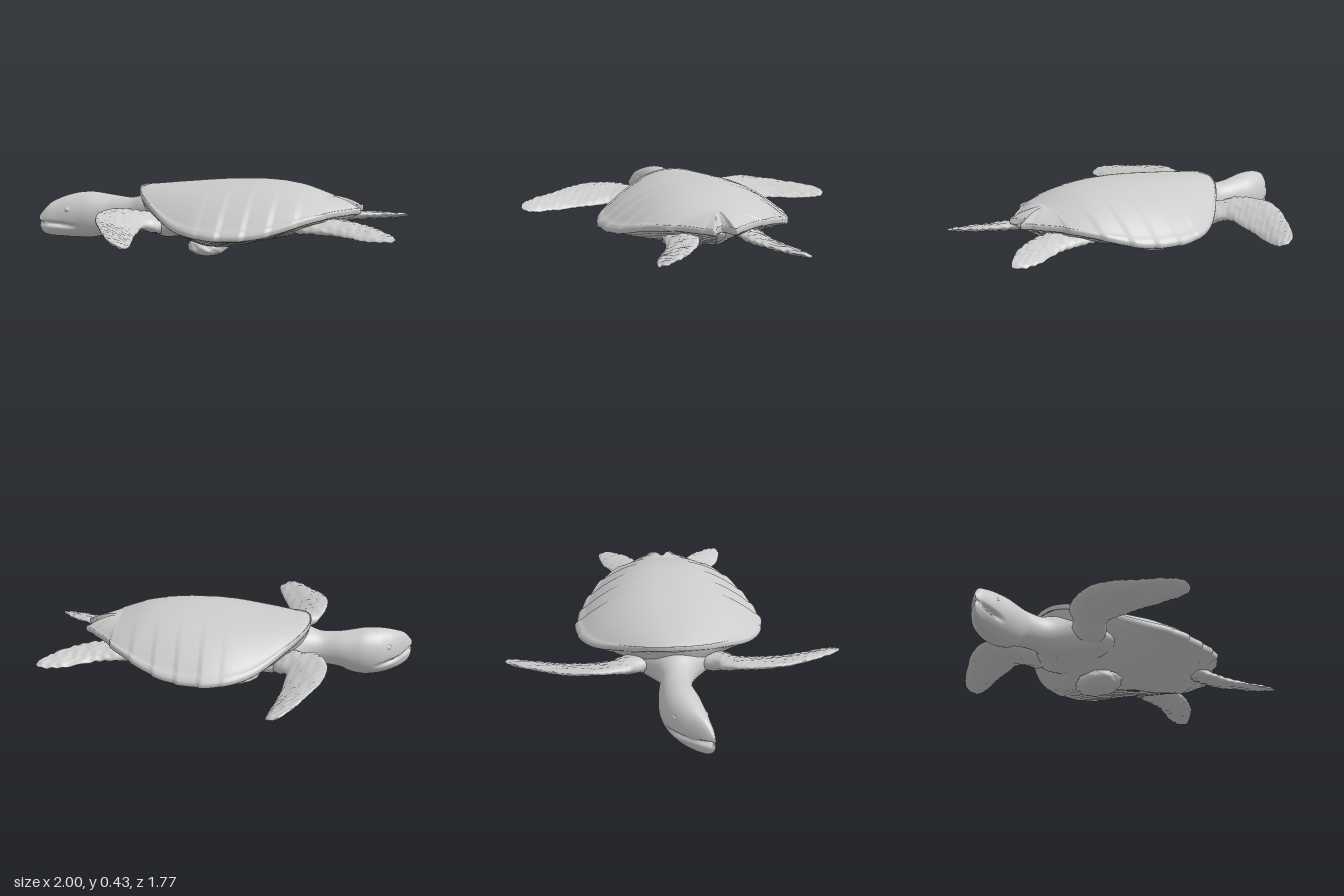
import * as THREE from 'three';

const mat = new THREE.MeshStandardMaterial({ color: 0xcccccc, roughness: 0.8 });
const clamp = THREE.MathUtils.clamp;

// Smooth lookup through [x, value] pairs
function table(pairs) {
  const it = new THREE.CubicInterpolant(pairs.map(p => p[0]), pairs.map(p => p[1]), 1, new Float32Array(1));
  return x => it.evaluate(clamp(x, pairs[0][0], pairs[pairs.length - 1][0]))[0];
}

// Skin over rings of points (each ring closed), optionally capped, turned to face outwards
function skin(name, rings, capped) {
  const n = rings[0].length, pts = rings.flat(), idx = [];
  for (let i = 0; i < rings.length - 1; i++) for (let j = 0; j < n; j++) {
    const a = i * n + j, b = i * n + (j + 1) % n, c = a + n, d = b + n;
    idx.push(a, b, d, a, d, c);
  }
  if (capped) [0, rings.length - 1].forEach((r, k) => {
    const mid = rings[r].reduce((s, p) => s.add(p), new THREE.Vector3()).divideScalar(n);
    const m = pts.push(mid) - 1;
    for (let j = 0; j < n; j++) {
      const a = r * n + j, b = r * n + (j + 1) % n;
      if (k) idx.push(a, b, m); else idx.push(b, a, m);
    }
  });
  const centre = pts.reduce((s, p) => s.add(p), new THREE.Vector3()).divideScalar(pts.length);
  const A = new THREE.Vector3(), B = new THREE.Vector3(), C = new THREE.Vector3();
  let volume = 0;
  for (let i = 0; i < idx.length; i += 3) {
    A.subVectors(pts[idx[i]], centre); B.subVectors(pts[idx[i + 1]], centre); C.subVectors(pts[idx[i + 2]], centre);
    volume += A.dot(B.cross(C));
  }
  if (volume < 0) idx.reverse();
  const g = new THREE.BufferGeometry().setFromPoints(pts);
  g.setIndex(idx);
  g.computeVertexNormals();
  const mesh = new THREE.Mesh(g, mat);
  mesh.name = name;
  return mesh;
}

// Elliptical sections [centre, half axis u, half axis v] blended smoothly along the part
function loft(name, keys, steps, sides, shape = p => p) {
  const [c, u, v] = [0, 1, 2].map(k => new THREE.CatmullRomCurve3(keys.map(s => s[k]), false, 'catmullrom', 0.5));
  const rings = [];
  for (let i = 0; i <= steps; i++) {
    const t = i / steps, ci = c.getPoint(t), ui = u.getPoint(t), vi = v.getPoint(t), ring = [];
    for (let j = 0; j < sides; j++) {
      const a = j / sides * Math.PI * 2;
      ring.push(shape(ci.clone().addScaledVector(ui, Math.cos(a)).addScaledVector(vi, Math.sin(a)), ci));
    }
    rings.push(ring);
  }
  return skin(name, rings, true);
}

// Flat limb from [leadX, leadZ, trailX, trailZ, halfThickness] rows; height(x, z) sets its tilt
function flipper(name, rows, height, side) {
  const keys = rows.map(([lx, lz, tx, tz, h]) => {
    const l = new THREE.Vector3(lx, height(lx, lz), lz * side), t = new THREE.Vector3(tx, height(tx, tz), tz * side);
    return [l.clone().add(t).multiplyScalar(0.5), l.clone().sub(t).multiplyScalar(0.5), new THREE.Vector3(h * 0.35, h, 0)];
  });
  // wrinkled skin
  return loft(name, keys, 60, 40, p => {
    p.y += 0.004 * Math.sin(p.x * 95 + 2 * Math.sin(p.z * 60)) * Math.sin(p.z * 80 + p.x * 30);
    return p;
  });
}

// Shell outline (one half), and heights of the rim, ridge and belly along x
const half = [[-0.44, 0], [-0.435, 0.06], [-0.4, 0.15], [-0.3, 0.28], [-0.2, 0.385], [-0.1, 0.46], [0, 0.505],
  [0.1, 0.515], [0.2, 0.5], [0.3, 0.475], [0.4, 0.43], [0.5, 0.365], [0.6, 0.27], [0.65, 0.2], [0.71, 0.13],
  [0.745, 0.09], [0.785, 0.055], [0.74, 0.03], [0.71, 0]];
const rimY = table([[-0.44, 0.368], [-0.3, 0.3], [-0.15, 0.235], [0, 0.212], [0.15, 0.206], [0.3, 0.217],
  [0.4, 0.24], [0.5, 0.27], [0.6, 0.292], [0.79, 0.3]]);
const ridgeY = table([[-0.44, 0.375], [-0.3, 0.39], [-0.1, 0.41], [0.1, 0.426], [0.28, 0.43], [0.45, 0.41], [0.6, 0.362], [0.7, 0.325]]);
const bellyY = table([[-0.44, 0.115], [-0.2, 0.1], [-0.08, 0.06], [0, 0.045], [0.1, 0.065], [0.3, 0.112], [0.45, 0.15], [0.62, 0.195]]);

function rimPoints() {
  const curve = new THREE.CatmullRomCurve3(half.map(([x, z]) => new THREE.Vector3(x, 0, z)), false, 'centripetal');
  const one = curve.getPoints(144).map(p => {
    // stepped edge of the marginal plates
    const step = p.x > 0 && p.z > 0.1 ? 0.014 * ((p.x * 8) % 1) - 0.006 : 0;
    return new THREE.Vector3(p.x, rimY(p.x), Math.max(0, p.z + step));
  });
  const other = one.slice(1, -1).reverse().map(p => new THREE.Vector3(p.x, p.y, -p.z));
  return [...one, ...other];
}

// Ring a fraction t of the way from the middle line to the rim
function ringAt(rim, t, height) {
  return rim.map(p => {
    const sx = clamp(p.x, -0.36, 0.6);
    return new THREE.Vector3(sx + (p.x - sx) * t, height(p, sx), p.z * t);
  });
}

export function createModel() {
  const model = new THREE.Group();
  model.name = 'seaTurtle';
  const rim = rimPoints();

  // Domed upper shell with a raised margin and a turned-under lip
  const shell = [];
  for (let i = 0; i <= 32; i++) {
    const t = 1 - Math.pow(1 - i / 32, 1.3);
    shell.push(ringAt(rim, t, (p, sx) => p.y + (ridgeY(sx) - p.y) * (1 - Math.pow(t, 2.3))
      + 0.008 * Math.exp(-(((t - 0.97) / 0.03) ** 2))));
  }
  shell.push(ringAt(rim, 1, p => p.y - 0.014), ringAt(rim, 0.98, p => p.y - 0.02), ringAt(rim, 0.88, p => p.y - 0.016));
  model.add(skin('upperShell', shell, false));

  // Keeled underside
  const belly = [];
  for (let i = 0; i <= 24; i++) {
    const t = 0.965 * (1 - i / 24);
    belly.push(ringAt(rim, t, (p, sx) => {
      const wrinkle = 0.004 * Math.sin(p.x * 22 + t * 17) * Math.sin(t * 26 + p.z * 9);
      return THREE.MathUtils.lerp(bellyY(sx), p.y - 0.012, Math.pow(t, 1.2)) + wrinkle;
    }));
  }
  model.add(skin('belly', belly, false));

  // Rough lump under the chest
  const lumpGeo = new THREE.SphereGeometry(1, 40, 28);
  const pos = lumpGeo.attributes.position;
  for (let i = 0; i < pos.count; i++) {
    const x = pos.getX(i), y = pos.getY(i), z = pos.getZ(i);
    const k = 1 + 0.06 * Math.sin(9 * x + 2) * Math.sin(8 * y) * Math.cos(7 * z);
    pos.setXYZ(i, x * k * 0.11, Math.max(y * k * 0.055, -0.055), z * k * 0.14);
  }
  lumpGeo.computeVertexNormals();
  const lump = new THREE.Mesh(lumpGeo, mat);
  lump.name = 'chestLump';
  lump.position.set(-0.06, 0.055, 0);
  model.add(lump);

  // Head and neck as [x, zMin, zMax, yMin, yMax], turned a little to its left, with a mouth line
  const head = [[-1, 0.132, 0.15, 0.145, 0.2], [-0.985, 0.1, 0.15, 0.105, 0.225], [-0.95, 0.045, 0.147, 0.084, 0.268],
    [-0.9, -0.02, 0.138, 0.075, 0.295], [-0.85, -0.06, 0.13, 0.068, 0.312], [-0.8, -0.088, 0.12, 0.065, 0.322],
    [-0.73, -0.106, 0.108, 0.066, 0.325], [-0.66, -0.105, 0.09, 0.082, 0.316], [-0.6, -0.1, 0.076, 0.11, 0.308],
    [-0.5, -0.09, 0.082, 0.12, 0.302], [-0.42, -0.115, 0.12, 0.114, 0.325], [-0.34, -0.19, 0.19, 0.108, 0.33],
    [-0.25, -0.26, 0.26, 0.105, 0.29], [-0.12, -0.26, 0.26, 0.13, 0.26]]
    .map(([x, z0, z1, y0, y1]) => [new THREE.Vector3(x, (y0 + y1) / 2, (z0 + z1) / 2),
      new THREE.Vector3(0, 0, (z1 - z0) / 2), new THREE.Vector3(0, (y1 - y0) / 2, 0)]);
  model.add(loft('headAndNeck', head, 104, 96, (p, c) => {
    const fade = clamp((-0.78 - p.x) / 0.1, 0, 1);
    const gap = fade * Math.exp(-(((p.y - 0.165 + 0.12 * (p.x + 1)) / 0.011) ** 2));
    p.z += (c.z - p.z) * 0.3 * gap;
    p.x += 0.03 * gap * clamp((-0.94 - p.x) / 0.06, 0, 1);
    return p;
  }));

  // Eyes
  for (const [z, name] of [[0.105, 'leftEye'], [-0.03, 'rightEye']]) {
    const eye = new THREE.Mesh(new THREE.SphereGeometry(0.024, 20, 14), mat);
    eye.name = name;
    eye.position.set(-0.85, 0.235, z);
    eye.scale.set(1.1, 0.8, 0.9);
    model.add(eye);
  }

  // Flippers, mirrored
  const front = [[-0.36, 0.12, -0.22, 0.2, 0.05], [-0.42, 0.2, -0.26, 0.28, 0.045], [-0.48, 0.24, -0.31, 0.335, 0.034],
    [-0.52, 0.34, -0.32, 0.39, 0.026], [-0.53, 0.46, -0.31, 0.46, 0.022], [-0.5, 0.58, -0.3, 0.55, 0.02],
    [-0.45, 0.67, -0.28, 0.64, 0.019], [-0.4, 0.76, -0.255, 0.74, 0.017], [-0.345, 0.84, -0.24, 0.82, 0.014],
    [-0.31, 0.873, -0.24, 0.855, 0.01], [-0.275, 0.885, -0.255, 0.875, 0.003]];
  const rear = [[0.5, 0.1, 0.46, 0.25, 0.035], [0.64, 0.1, 0.58, 0.26, 0.033], [0.75, 0.125, 0.68, 0.275, 0.027],
    [0.82, 0.16, 0.77, 0.315, 0.021], [0.89, 0.205, 0.84, 0.35, 0.018], [0.95, 0.27, 0.9, 0.366, 0.014],
    [0.985, 0.315, 0.95, 0.374, 0.01], [1, 0.345, 0.985, 0.37, 0.003]];
  for (const [side, word] of [[1, 'left'], [-1, 'right']]) {
    model.add(flipper(word + 'FrontFlipper', front,
      (x, z) => 0.292 - 0.38 * (x + 0.53) + 0.03 * clamp((z - 0.6) / 0.28, 0, 1), side));
    model.add(flipper(word + 'RearFlipper', rear, (x, z) => 0.235 - 0.2 * (z - 0.15) + 0.06 * clamp(x - 0.75, 0, 1), side));
  }

  // Short tail below the shell notch
  const tail = [[0.5, 0.21, 0.07, 0.04], [0.62, 0.235, 0.045, 0.03], [0.7, 0.26, 0.022, 0.015], [0.73, 0.27, 0.004, 0.004]]
    .map(([x, y, w, h]) => [new THREE.Vector3(x, y, 0), new THREE.Vector3(0, 0, w), new THREE.Vector3(0, h, 0)]);
  model.add(loft('tail', tail, 16, 20));

  return model;
}
